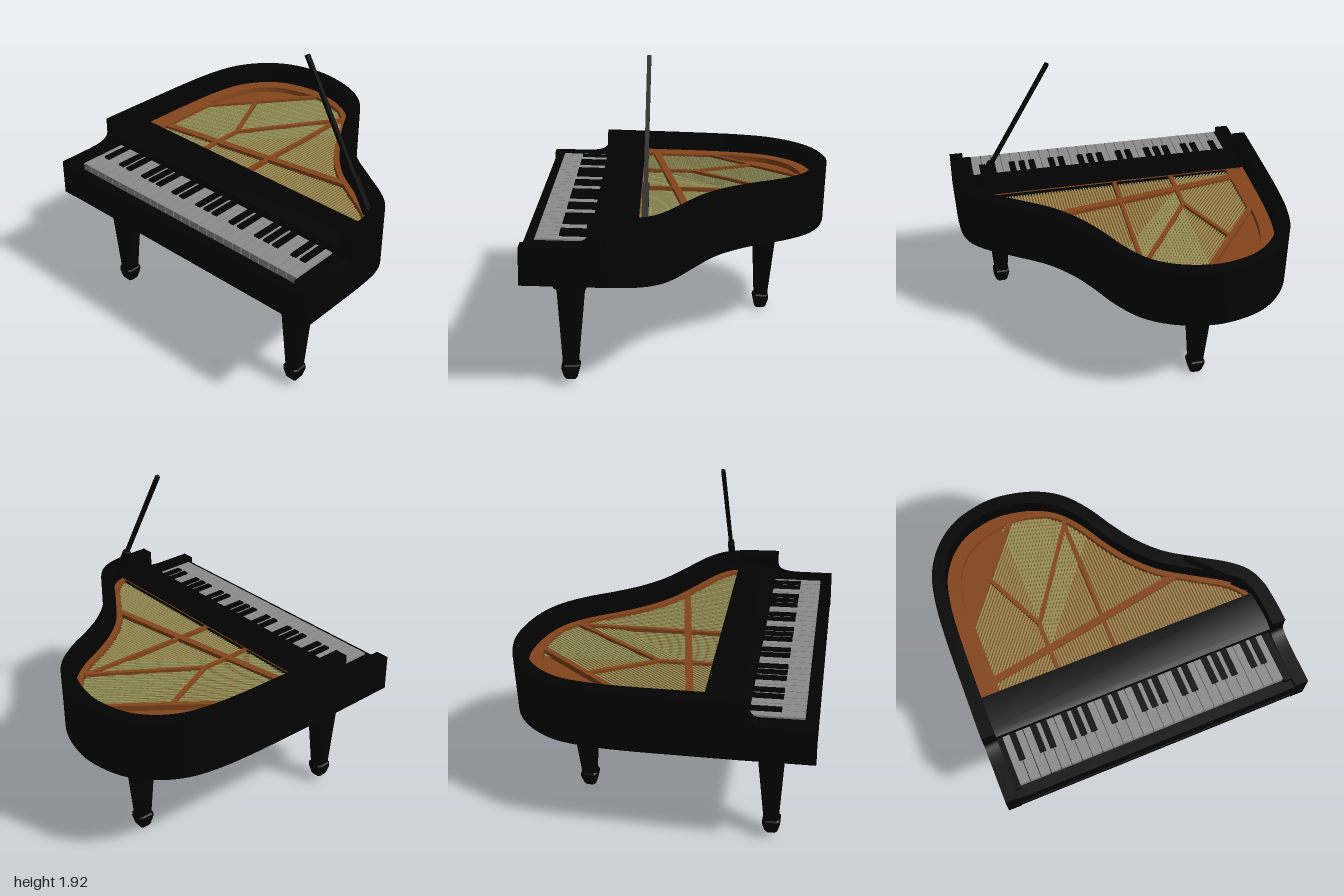
import * as THREE from 'three';
import { mergeGeometries, toCreasedNormals } from 'three/addons/utils/BufferGeometryUtils.js';

const material = (name, color) => Object.assign(new THREE.MeshStandardMaterial({ color }), { name });
const V2 = (x, z) => new THREE.Vector2(x, z);

export function createModel() {
  const black = material('black lacquer', 0x020202);
  const white = material('key white', 0x8c8c8c);
  const brown = material('copper brown', 0x84451c);
  const wire = material('string wire', 0x949158);

  const model = new THREE.Group();
  model.name = 'grandPiano';
  // the whole instrument leans very slightly
  const piano = new THREE.Group();
  piano.name = 'piano';
  piano.rotation.set(-0.034, -0.01, 0);
  piano.position.z = 0.03;
  model.add(piano);

  const add = (name, geometry, mat, parent = piano) => {
    const mesh = new THREE.Mesh(geometry, mat);
    mesh.name = name;
    parent.add(mesh);
    return mesh;
  };
  // box given by its limits on each axis
  const block = (x0, x1, y0, y1, z0, z1) =>
    new THREE.BoxGeometry(x1 - x0, y1 - y0, z1 - z0).translate((x0 + x1) / 2, (y0 + y1) / 2, (z0 + z1) / 2);
  // plan outline (x, z) raised from y0 to y1
  const slab = (points, y0, y1) => toCreasedNormals(
    new THREE.ExtrudeGeometry(new THREE.Shape(points.map(p => V2(p.x, -p.y))),
      { depth: y1 - y0, bevelEnabled: false }).rotateX(-Math.PI / 2).translate(0, y0, 0), 0.5);
  // side profile (z, y) stretched across x0..x1
  const across = (shape, x0, x1) => toCreasedNormals(
    new THREE.ExtrudeGeometry(shape, { depth: x1 - x0, bevelEnabled: false, curveSegments: 8 })
      .rotateY(-Math.PI / 2).translate(x1, 0, 0), 0.5);
  // straight strip between two plan points
  const strip = (a, b, width, y, height) => {
    const dx = b[0] - a[0], dz = b[1] - a[1];
    return new THREE.BoxGeometry(Math.hypot(dx, dz), height, width)
      .rotateY(-Math.atan2(dz, dx)).translate((a[0] + b[0]) / 2, y, (a[1] + b[1]) / 2);
  };

  // ---- curved case outline, from front left round the tail to front right
  const outline = new THREE.SplineCurve([
    [-0.99, 0.5], [-0.985, 0.2], [-0.977, -0.15], [-0.957, -0.4], [-0.908, -0.6], [-0.8, -0.765],
    [-0.65, -0.877], [-0.45, -0.932], [-0.28, -0.926], [-0.1, -0.875], [0.05, -0.78], [0.17, -0.63],
    [0.27, -0.45], [0.37, -0.3], [0.5, -0.165], [0.68, -0.045], [0.85, 0.065], [0.945, 0.16],
    [0.99, 0.27], [1.003, 0.4], [1.006, 0.5],
  ].map(p => V2(...p))).getSpacedPoints(110);
  const inset = amount => outline.map((p, i) => {
    const a = outline[Math.max(i - 1, 0)], b = outline[Math.min(i + 1, outline.length - 1)];
    const t = b.clone().sub(a).normalize(), d = amount(p.x);
    return V2(p.x - t.y * d, p.y + t.x * d);
  });
  const inner = inset(() => 0.083);
  const lip = inset(x => 0.083 + THREE.MathUtils.lerp(0.085, 0.035, THREE.MathUtils.smoothstep(x, -0.6, 0.1)));
  const ring = (a, b) => [...a, ...[...b].reverse()];

  add('rim', slab(ring(outline, inner), 0.715, 1.096), black);
  add('caseBottom', slab([...outline, V2(1.006, 0.86), V2(-0.99, 0.86)], 0.715, 0.86), black);
  add('soundboard', slab(inner, 0.86, 0.95), brown);
  add('plateEdge', slab(ring(inner, lip), 0.95, 0.985), brown);

  // ---- iron frame bars
  const bars = [
    [[-0.82, 0.2], [0.54, -0.03], 0.045], [[-0.81, -0.17], [-0.32, -0.8], 0.03],
    [[-0.58, -0.44], [-0.4, -0.05], 0.025], [[-0.4, -0.05], [-0.4, 0.28], 0.025],
    [[-0.4, -0.05], [0, -0.64], 0.025], [[0, -0.66], [-0.02, 0.28], 0.025],
    [[-0.8, -0.19], [-0.8, 0.28], 0.035],
  ];
  add('frameBars', mergeGeometries(bars.map(([a, b, w]) => strip(a, b, w, 0.968, 0.036))), brown);

  // ---- strings, each running until it leaves its field
  const inside = (x, z, poly) => {
    let hit = false;
    poly.forEach((p, i) => {
      const q = poly[(i + 1) % poly.length];
      if ((p.y > z) !== (q.y > z) && x < (q.x - p.x) * (z - p.y) / (q.y - p.y) + p.x) hit = !hit;
    });
    return hit;
  };
  const bassField = [[-0.79, 0.29], [-0.79, -0.19], [-0.32, -0.8], [-0.1, -0.74], [0.03, -0.62],
    [0.1, -0.5], [-0.36, 0.08], [-0.4, 0.29]].map(p => V2(...p));
  const strings = [];
  const run = (x, z, dx, dz, field, y) => {
    let n = 0;
    while (n < 250 && inside(x + dx * (n + 1) * 0.01, z + dz * (n + 1) * 0.01, field)) n++;
    if (n > 2) strings.push(strip([x, z], [x + dx * n * 0.01, z + dz * n * 0.01], 0.01, y, 0.004));
  };
  for (let z = -0.17; z < 0.27; z += 0.029) run(-0.785, z, 0.618, -0.786, bassField, 0.967);
  for (let x = -0.774; x < -0.41; x += 0.0228) run(x, 0.28, 0.618, -0.786, bassField, 0.967);
  for (let x = -0.385; x < 0.87; x += 0.0185) run(x, 0.28, 0, -1, lip, 0.96);
  add('strings', mergeGeometries(strings), wire);

  // ---- keyboard end of the case
  const fall = new THREE.Shape([[0.28, 0.86], [0.28, 1.01], [0.5, 1.01], [0.54, 0.99], [0.54, 0.86]].map(p => V2(...p)));
  add('fallboard', across(fall, -0.92, 0.93), black);
  add('fallboardTrim', block(-0.905, 0.905, 0.985, 0.99, 0.275, 0.285), brown);
  add('keyBed', block(-0.92, 0.93, 0.715, 0.89, 0.5, 0.915), black);
  add('frontRail', block(-0.92, 0.93, 0.86, 0.9, 0.855, 0.922), black);
  add('lowerRail', block(-0.92, 0.93, 0.715, 0.75, 0.9, 0.922), black);
  const cheek = new THREE.Shape();
  cheek.moveTo(0.49, 0.715);
  cheek.lineTo(0.925, 0.715);
  cheek.lineTo(0.925, 0.939);
  cheek.lineTo(0.7, 0.94);
  cheek.bezierCurveTo(0.58, 0.942, 0.555, 0.965, 0.55, 1.0);
  cheek.lineTo(0.55, 1.096);
  cheek.lineTo(0.49, 1.096);
  for (const [name, x0, x1] of [['rightCheek', -0.99, -0.905], ['leftCheek', 0.921, 1.006]]) {
    add(name, across(cheek, x0, x1), black);
  }
  add('rightKeyBlock', block(-0.91, -0.876, 0.86, 0.935, 0.5, 0.87), black);
  add('leftKeyBlock', block(0.872, 0.925, 0.86, 0.935, 0.5, 0.87), black);

  // ---- keys
  const keyCount = 26, keyStart = -0.872, pitch = 1.742 / keyCount;
  const naturals = [], sharps = [];
  for (let i = 0; i < keyCount; i++) {
    const x = keyStart + i * pitch;
    naturals.push(block(x + 0.002, x + pitch - 0.002, 0.898, 0.943, 0.52, 0.852));
    if (i > 0 && i % 7 !== 2 && i % 7 !== 5) sharps.push(block(x - 0.02, x + 0.02, 0.93, 0.955, 0.52, 0.72));
  }
  add('whiteKeys', mergeGeometries(naturals), white);
  add('blackKeys', mergeGeometries(sharps), black);

  // ---- legs: ogee bracket, collar and tapered shaft with foot
  const bracket = new THREE.Shape();
  bracket.moveTo(-0.215, 0.72);
  bracket.bezierCurveTo(-0.2, 0.66, -0.11, 0.69, -0.09, 0.62);
  bracket.lineTo(0.09, 0.62);
  bracket.bezierCurveTo(0.11, 0.69, 0.2, 0.66, 0.215, 0.72);
  const legProfile = [[0, 0.018], [0.03, 0.018], [0.04, 0.034], [0.055, 0.092], [0.053, 0.11], [0.045, 0.118],
    [0.079, 0.6], [0.086, 0.605], [0.086, 0.64], [0, 0.64]]
    .map(([h, y]) => V2(h / Math.cos(Math.PI / 8), y));
  const shaft = new THREE.LatheGeometry(legProfile, 8, Math.PI / 8);
  // widen the eight-sided section into a square with cut corners
  const corners = shaft.attributes.position;
  for (let i = 0; i < corners.count; i++) {
    const x = corners.getX(i), z = corners.getZ(i);
    if (Math.abs(x) < Math.abs(z)) corners.setX(i, x * 1.7);
    else corners.setZ(i, z * 1.7);
  }
  const legGeometry = toCreasedNormals(shaft, 0.2);
  const bracketGeometry = across(bracket, -0.09, 0.09);
  for (const [name, x, z] of [['frontRightLeg', -0.716, 0.66], ['frontLeftLeg', 0.73, 0.66], ['rearLeg', -0.38, -0.55]]) {
    const leg = new THREE.Group();
    leg.name = name;
    leg.position.set(x, 0, z);
    piano.add(leg);
    add('legShaft', legGeometry, black, leg);
    add('legBracket', bracketGeometry, black, leg);
  }
  add('crossBeam', block(-0.72, 0.72, 0.655, 0.72, 0.62, 0.7), black);

  // ---- lid prop
  const foot = new THREE.Vector3(0.885, 1.06, 0.24), tip = new THREE.Vector3(0.403, 1.9, 0.245);
  const rod = (name, from, to, width, depth) => {
    const a = foot.clone().lerp(tip, from), b = foot.clone().lerp(tip, to);
    const mesh = add(name, new THREE.BoxGeometry(width, a.distanceTo(b), depth), black);
    mesh.position.copy(a).lerp(b, 0.5);
    mesh.quaternion.setFromUnitVectors(new THREE.Vector3(0, 1, 0), b.sub(a).normalize());
  };
  rod('propStick', 0, 1, 0.023, 0.024);
  rod('propSleeve', 0, 0.23, 0.042, 0.038);
  return model;
}
